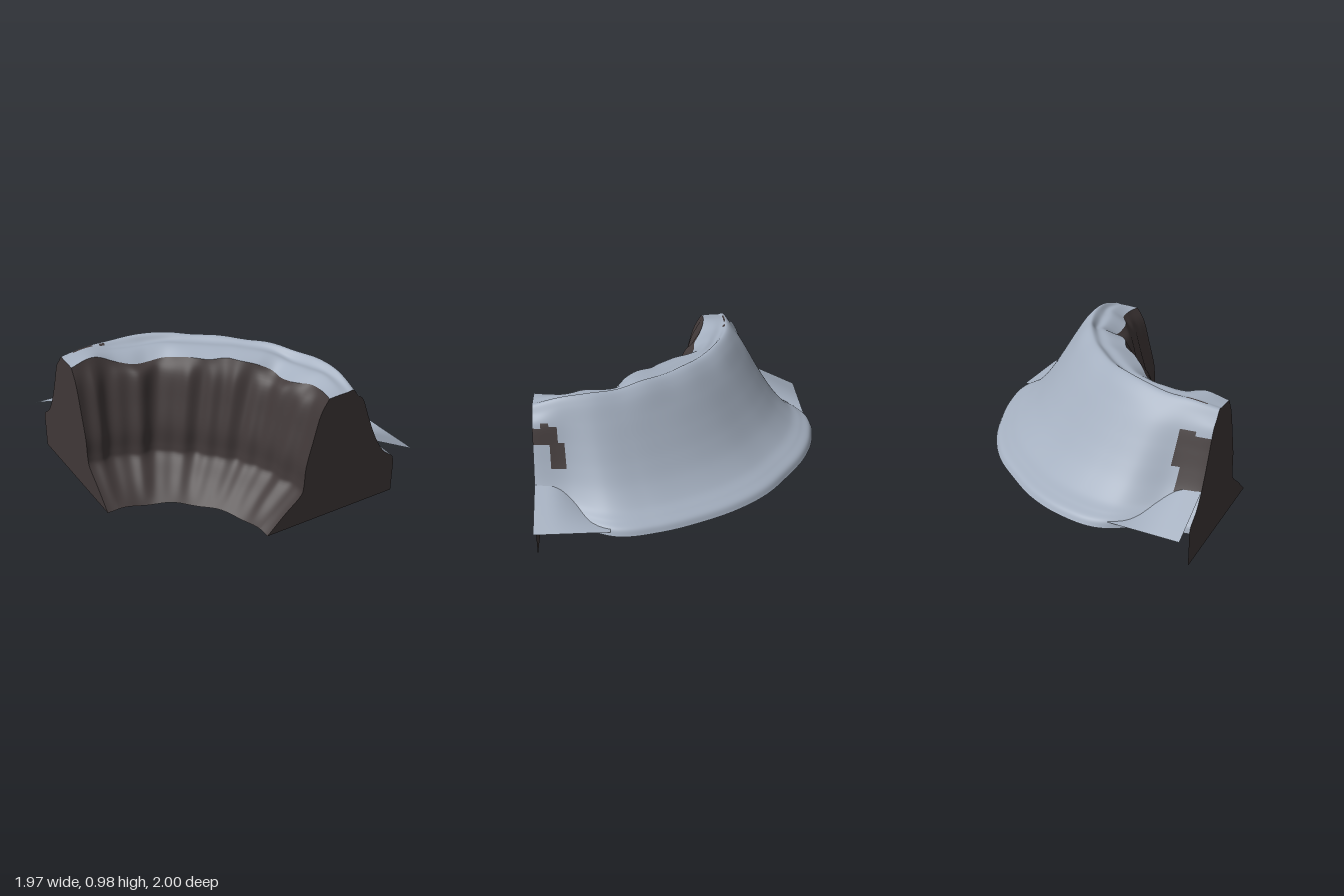
import * as THREE from 'three';

const CX = -0.99, CZ = 1; // centre of the quarter ring
const RAD = Math.PI / 180;
const STEPS = 12; // spans in the snow profile

// Smooth lookup through evenly spaced values over 0..90 degrees
function table(values) {
  const curve = new THREE.CatmullRomCurve3(
    values.map((v, i) => new THREE.Vector3(i, v, 0)), false, 'catmullrom');
  return (deg) => curve.getPoint(THREE.MathUtils.clamp(deg / 90, 0, 1)).y;
}

const rimR = table([1.8, 1.845, 2.03, 2.09, 2.125, 2.16, 2.178, 2.168, 2.168, 2.14, 2.065, 1.85, 1.8]);
const ridgeR = table([1.4, 1.435, 1.44, 1.44, 1.44, 1.42, 1.38]);
const ridgeY = table([0.91, 0.965, 0.978, 0.972, 0.985, 0.972, 0.975, 0.968, 0.98, 0.975, 0.955, 0.945, 0.92]);
const lipR = table([1.21, 1.235, 1.245, 1.2, 1.22, 1.26, 1.22, 1.2, 1.215, 1.19,
  1.2, 1.22, 1.25, 1.23, 1.2, 1.21, 1.225, 1.22, 1.21]);
const lipY = table([0.9, 0.9, 0.89, 0.87, 0.92, 0.93, 0.91, 0.905, 0.88, 0.86, 0.89, 0.945, 0.91]);

// Snow cross-section at one angle: lip, groove, ridge, slope, rim
function snowProfile(deg) {
  const l = lipR(deg), k = ridgeR(deg), o = rimR(deg), ly = lipY(deg), h = ridgeY(deg);
  const pts = [
    [l, ly],
    [l + (k - l) * 0.45, ly + (h - ly) * 0.55],
    [l + (k - l) * 0.75, ly + (h - ly) * 0.6],
    [k, h],
  ];
  const slope = [[0.1, h - 0.05], [0.22, 0.815], [0.35, 0.68], [0.47, 0.56],
    [0.6, 0.45], [0.75, 0.36], [0.87, 0.32], [0.96, 0.292], [1, 0.25]];
  for (const [f, y] of slope) pts.push([k + (o - k) * f, y]);
  return new THREE.CatmullRomCurve3(
    pts.map(([r, y]) => new THREE.Vector3(r, y, 0)), false, 'catmullrom');
}

// Cliff cross-section at one angle: radius, height, strength of the vertical folds
const cliffBase = [[0.77, 0.01, 0], [0.9, 0.13, 0.5], [1.02, 0.23, 0.8], [1.045, 0.3, 0.9],
  [1.055, 0.44, 1], [1.1, 0.62, 1], [1.15, 0.8, 1]];
function cliffProfile(deg) {
  const fade = Math.min(1, deg / 6, (90 - deg) / 6);
  const pts = cliffBase.map(([r, y, strength]) => {
    const a = deg + y * 3;
    const fold = 0.013 * Math.sin(a * 0.42) + 0.008 * Math.sin(a * 0.77 + 1.3);
    const lean = (lipR(deg) - 1.21) * y;
    const drift = strength ? 0 : 0.007 * fade * Math.sin(deg * 0.25);
    return new THREE.Vector3(r + fold * fade * strength + lean, y + drift, 0);
  });
  pts.push(new THREE.Vector3(lipR(deg), lipY(deg), 0));
  return new THREE.CatmullRomCurve3(pts, false, 'catmullrom');
}

// Sweep a changing profile round the quarter ring; pick(deg, v) chooses the material
function sweep(profile, cols, rows, pick) {
  const pos = [], sets = [[], []];
  for (let i = 0; i <= cols; i++) {
    const deg = 90 * i / cols, curve = profile(deg);
    const c = Math.cos(deg * RAD), s = Math.sin(deg * RAD);
    for (let j = 0; j <= rows; j++) {
      const p = curve.getPoint(j / rows);
      pos.push(CX + p.x * c, p.y, CZ - p.x * s);
    }
  }
  for (let i = 0; i < cols; i++) {
    for (let j = 0; j < rows; j++) {
      const a = i * (rows + 1) + j, b = a + rows + 1;
      const set = sets[pick(90 * (i + 0.5) / cols, (j + 0.5) / rows)];
      set.push(a, a + 1, b, b, a + 1, b + 1);
    }
  }
  const g = new THREE.BufferGeometry();
  g.setAttribute('position', new THREE.Float32BufferAttribute(pos, 3));
  g.setIndex([...sets[0], ...sets[1]]);
  g.addGroup(0, sets[0].length, 0);
  g.addGroup(sets[0].length, sets[1].length, 1);
  g.computeVertexNormals();
  return g;
}

// Bare rock patches in the snow: start/end angle, start/end profile step
const bare = [
  [0, 2, 5.2, 5.9], [2, 4, 4.9, 5.9], [4, 6, 5.1, 7.1], [6, 7.5, 5.8, 7.1],
  [86, 90, 5.4, 8], [84, 86, 5.2, 8.2], [82, 84, 5.2, 6.9],
  [80.5, 86.5, 2.4, 2.7], [77, 78.5, 2.3, 2.7],
];
const pickSnow = (deg, v) => bare.some(([a, b, k0, k1]) =>
  deg > a && deg < b && v * STEPS > k0 && v * STEPS < k1) ? 1 : 0;

// Flat cut face of one end, drawn as radius against height
function endFace(deg) {
  const pts = cliffProfile(deg).getPoints(40).concat(snowProfile(deg).getPoints(60).slice(1));
  const shape = new THREE.Shape(pts.map((p) => new THREE.Vector2(p.x, p.y)));
  shape.lineTo(1.8, 0.25);
  shape.lineTo(1.8, 0.01);
  return new THREE.ShapeGeometry(shape);
}

// Twisted snow flap over the outer corner: flat at its far edge, sloping at the cut end
function flapGeometry(mirrored) {
  const g = new THREE.PlaneGeometry(1, 1, 6, 12);
  const p = g.attributes.position;
  for (let i = 0; i < p.count; i++) {
    const x = 0.7875 + p.getX(i) * 0.375;
    const z = 0.7575 - p.getY(i) * 0.485;
    const y = 0.29 + THREE.MathUtils.smoothstep(z, 0.52, 0.9) * 0.5 * (0.975 - x);
    if (mirrored) p.setXYZ(i, CX + CZ - z, y, CZ - (x - CX));
    else p.setXYZ(i, x, y, z);
  }
  if (mirrored) g.setIndex([...g.index.array].reverse());
  g.computeVertexNormals();
  return g;
}

export function createModel() {
  const group = new THREE.Group();
  const snow = new THREE.MeshStandardMaterial({ color: 0xa4afbf, side: THREE.DoubleSide });
  snow.name = 'snow';
  const rock = new THREE.MeshStandardMaterial({ color: 0x403838, side: THREE.DoubleSide });
  rock.name = 'rock';

  const add = (name, geometry, material) => {
    const mesh = new THREE.Mesh(geometry, material);
    mesh.name = name;
    group.add(mesh);
    return mesh;
  };

  add('snowSlope', sweep(snowProfile, 180, STEPS * 10, pickSnow), [snow, rock]);
  add('innerCliff', sweep(cliffProfile, 180, 40, () => 0), [rock, rock]);

  add('frontEndFace', endFace(0), rock).position.set(CX, 0, CZ);
  const side = add('sideEndFace', endFace(90), rock);
  side.position.set(CX, 0, CZ);
  side.rotation.y = Math.PI / 2;

  add('frontSnowFlap', flapGeometry(false), snow);
  add('sideSnowFlap', flapGeometry(true), snow);
  return group;
}
